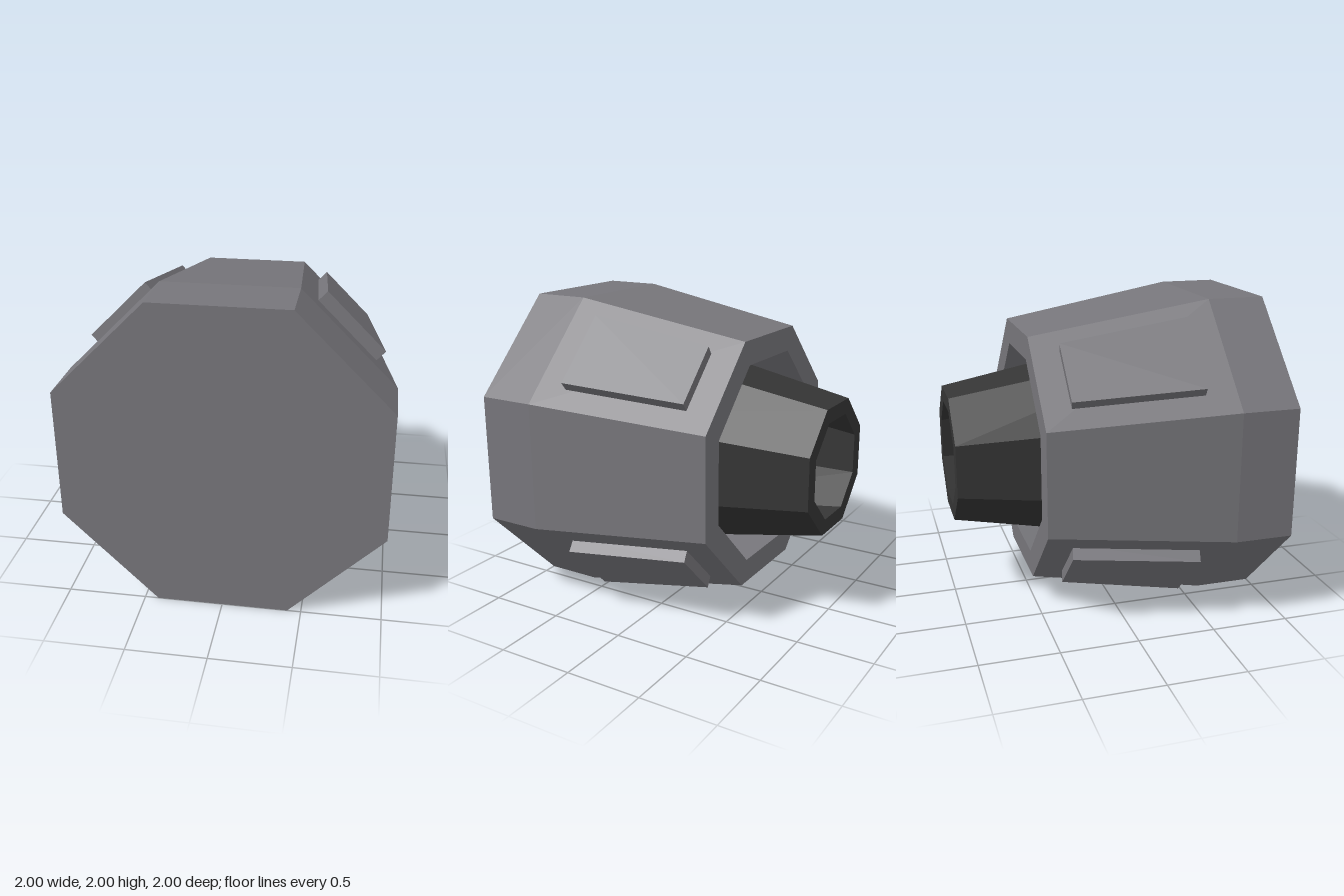
import * as THREE from 'three';

const housingGrey = new THREE.MeshStandardMaterial({ color: 0x77767b });
housingGrey.name = 'housing grey';
const nozzleDark = new THREE.MeshStandardMaterial({ color: 0x353535 });
nozzleDark.name = 'nozzle dark';

// Faceted octagonal body from a profile of [distance to flat side, z]
function octagon(name, profile, material) {
  const points = profile.map(([a, z]) => new THREE.Vector2(a / Math.cos(Math.PI / 8), z));
  const geometry = new THREE.LatheGeometry(points, 8, Math.PI / 8).toNonIndexed();
  geometry.rotateX(Math.PI / 2);
  geometry.computeVertexNormals();
  const mesh = new THREE.Mesh(geometry, material);
  mesh.name = name;
  return mesh;
}

export function createModel() {
  const model = new THREE.Group();
  model.name = 'thruster';
  const engine = new THREE.Group();
  engine.name = 'engine';
  engine.position.y = 1;
  model.add(engine);

  // Housing: cavity floor and wall, rear rim, tapered outside, closed front
  engine.add(octagon('housing', [
    [0, 0.62], [0.84, 0.62], [0.65, -0.52], [0.806, -0.52], [1, 0.63], [1, 1], [0, 1],
  ], housingGrey));

  // Nozzle: hollow bore, rear rim and flared outside running into the cavity
  engine.add(octagon('nozzle', [
    [0, 0.6], [0.59, 0.6], [0.315, -1], [0.41, -1], [0.695, 0.63],
  ], nozzleDark));

  // Tapered pads on the four diagonal sides
  const slope = Math.atan(0.194 / 1.15);
  const outline = new THREE.Shape([
    new THREE.Vector2(-0.257, -0.4), new THREE.Vector2(0.257, -0.4),
    new THREE.Vector2(0.205, 0.4), new THREE.Vector2(-0.205, 0.4),
  ]);
  const padGeometry = new THREE.ExtrudeGeometry(outline, { depth: 0.1, bevelEnabled: false });
  padGeometry.rotateX(-Math.PI / 2 - slope);
  padGeometry.translate(0, 0.88, 0.05);
  for (let i = 0; i < 4; i++) {
    const pad = new THREE.Mesh(padGeometry, housingGrey);
    pad.name = `sidePad${i + 1}`;
    pad.rotation.z = Math.PI / 4 + (i * Math.PI) / 2;
    engine.add(pad);
  }
  return model;
}
